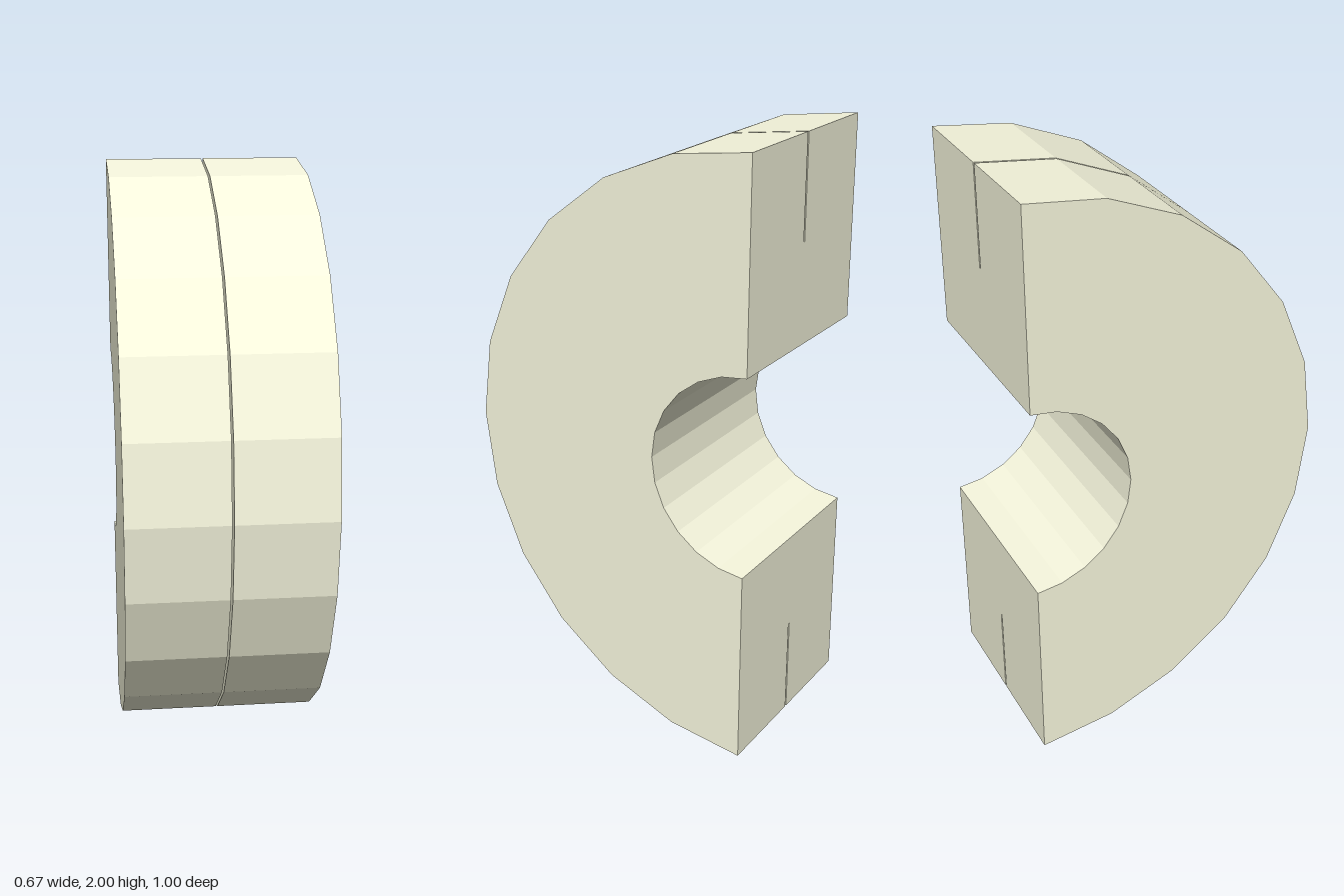
import * as THREE from 'three';
import { mergeGeometries } from 'three/addons/utils/BufferGeometryUtils.js';

export function createModel() {
  const group = new THREE.Group();
  group.name = 'groovedHalfRing';

  const outer = 1, inner = 1 / 3, grooveFloor = 2 / 3;
  const half = 1 / 3, slot = 0.0033;

  // Cross-section (radius, axial): a block with a thin slot cut into its rim
  const profile = [
    [inner, -half], [outer, -half], [outer, -slot], [grooveFloor, -slot],
    [grooveFloor, slot], [outer, slot], [outer, half], [inner, half],
  ].map(([r, a]) => new THREE.Vector2(r, a));

  // Half turn of the cross-section in 12 flat facets
  const sweep = new THREE.LatheGeometry([...profile, profile[0].clone()], 12, 0, Math.PI);

  // Flat cut faces closing both ends
  const capTop = new THREE.ShapeGeometry(new THREE.Shape(profile)).rotateY(-Math.PI / 2);
  const capBottom = capTop.clone().rotateX(Math.PI);

  // Lay the axis along x, with the round side facing the front
  const geometry = mergeGeometries([sweep, capTop, capBottom]);
  geometry.applyMatrix4(new THREE.Matrix4().makeBasis(
    new THREE.Vector3(0, 0, 1), new THREE.Vector3(1, 0, 0), new THREE.Vector3(0, 1, 0)));
  geometry.translate(0, 1, -0.5);

  const ring = new THREE.Mesh(geometry,
    new THREE.MeshStandardMaterial({ color: 0xf5f5dc, flatShading: true }));
  ring.name = 'halfRing';
  group.add(ring);
  return group;
}
